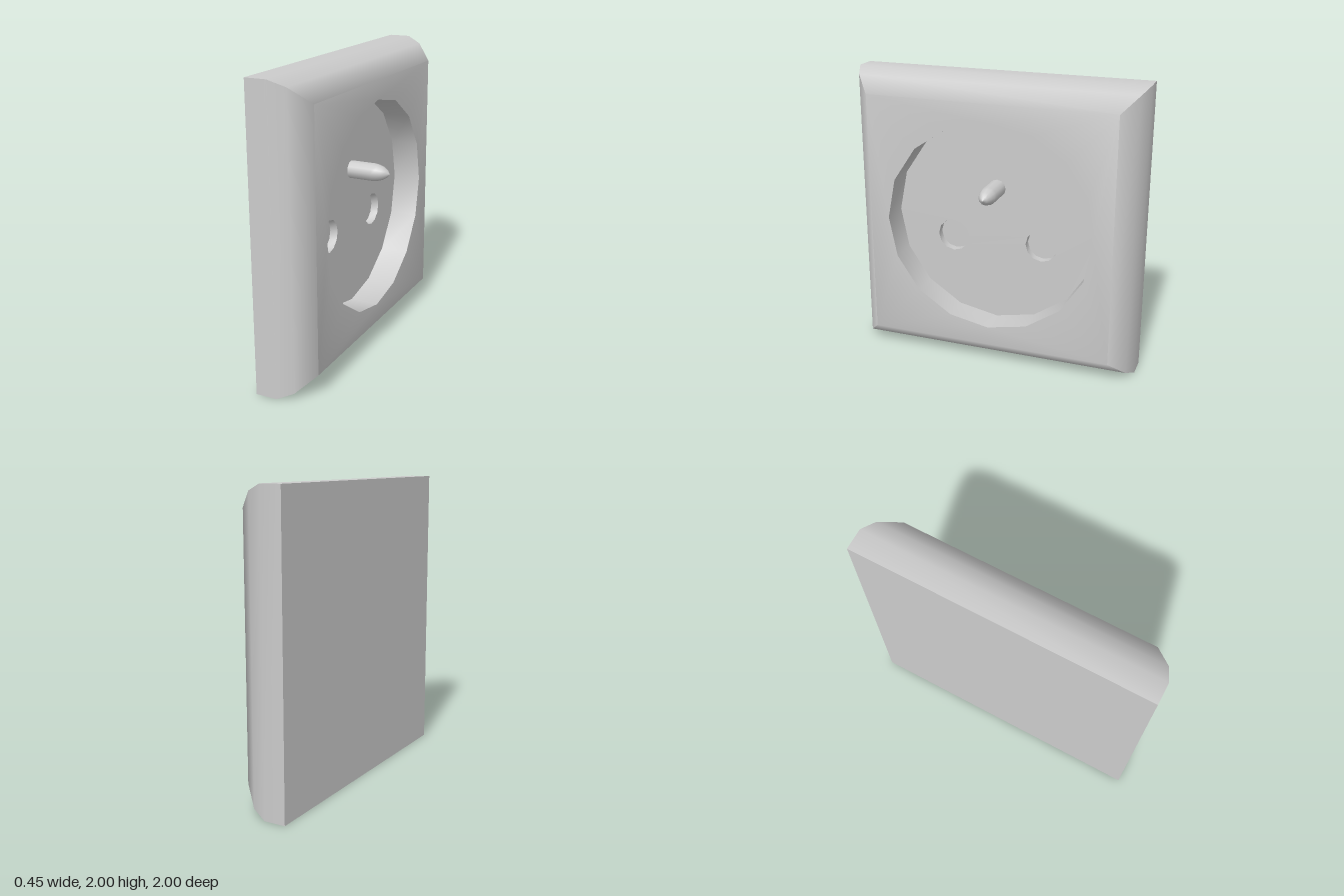
import * as THREE from 'three';
import { mergeGeometries, toCreasedNormals } from 'three/addons/utils/BufferGeometryUtils.js';

const FRONT = 0.137, FLOOR = -0.06, HOLE_END = -0.115, BACK = -0.227;
const DISH_R = 0.723, HOLE_R = 0.113, HOLES = [[-0.32, -0.147], [0.32, -0.147]];

// Lathe around z: profile points are [radius, z]; rising z faces outward
function turned(profile, sides, start = 0) {
  const pts = profile.map(([r, z]) => new THREE.Vector2(r, z));
  return new THREE.LatheGeometry(pts, sides, start).rotateX(Math.PI / 2);
}

// Corner points of a regular polygon
function ring(r, sides, cx = 0, cy = 0) {
  return Array.from({ length: sides }, (_, i) => {
    const a = (i / sides) * Math.PI * 2;
    return new THREE.Vector2(cx + r * Math.sin(a), cy + r * Math.cos(a));
  });
}

// Flat plate at depth z, with polygonal openings
function plate(outline, openings, z) {
  const shape = new THREE.Shape(outline);
  openings.forEach((o) => shape.holes.push(new THREE.Path(o)));
  return new THREE.ShapeGeometry(shape).translate(0, 0, z);
}

// Merge pieces, smoothing the gentle bevels and keeping the sharp edges
function joined(pieces) {
  const parts = pieces.map((g) => {
    const n = g.index ? g.toNonIndexed() : g;
    n.deleteAttribute('uv');
    return n;
  });
  return toCreasedNormals(mergeGeometries(parts), THREE.MathUtils.degToRad(55));
}

export function createModel() {
  const model = new THREE.Group();
  model.name = 'wallSocket';
  const socket = new THREE.Group();
  socket.name = 'socket';
  socket.position.y = 1;
  socket.rotation.y = Math.PI / 2; // built facing +z, turned to face +x
  model.add(socket);

  const material = new THREE.MeshStandardMaterial({ color: 0xcccccc });
  const add = (name, geometry) => {
    const mesh = new THREE.Mesh(geometry, material);
    mesh.name = name;
    socket.add(mesh);
  };

  // Square cover: four-sided turned shell with bevels, and a face with a round opening
  const half = 0.853, d = Math.SQRT2;
  const shell = turned(
    [[0, BACK], [d, BACK], [d, -0.083], [0.957 * d, 0.022], [half * d, FRONT]], 4, Math.PI / 4);
  const square = [[-1, -1], [1, -1], [1, 1], [-1, 1]]
    .map(([x, y]) => new THREE.Vector2(x * half, y * half));
  add('coverPlate', joined([shell, plate(square, [ring(DISH_R, 16)], FRONT)]));

  // Round recess: inward-facing wall and a floor with two openings
  add('recess', joined([
    turned([[DISH_R, FRONT], [DISH_R, FLOOR]], 16),
    plate(ring(DISH_R, 16), HOLES.map(([x, y]) => ring(HOLE_R, 12, x, y)), FLOOR),
  ]));

  // Contact holes: inward wall and closed bottom
  HOLES.forEach(([x, y], i) => {
    const hole = joined([turned([[HOLE_R, FLOOR], [HOLE_R, HOLE_END], [0, HOLE_END]], 12)]);
    add(i ? 'rightContactHole' : 'leftContactHole', hole.translate(x, y, 0));
  });

  // Earth pin with a rounded, tapering tip
  const pin = turned(
    [[0.061, FLOOR], [0.061, 0.11], [0.056, 0.14], [0.045, 0.175], [0.026, 0.205], [0, 0.224]], 12);
  add('earthPin', pin.translate(0, 0.232, 0));

  return model;
}
